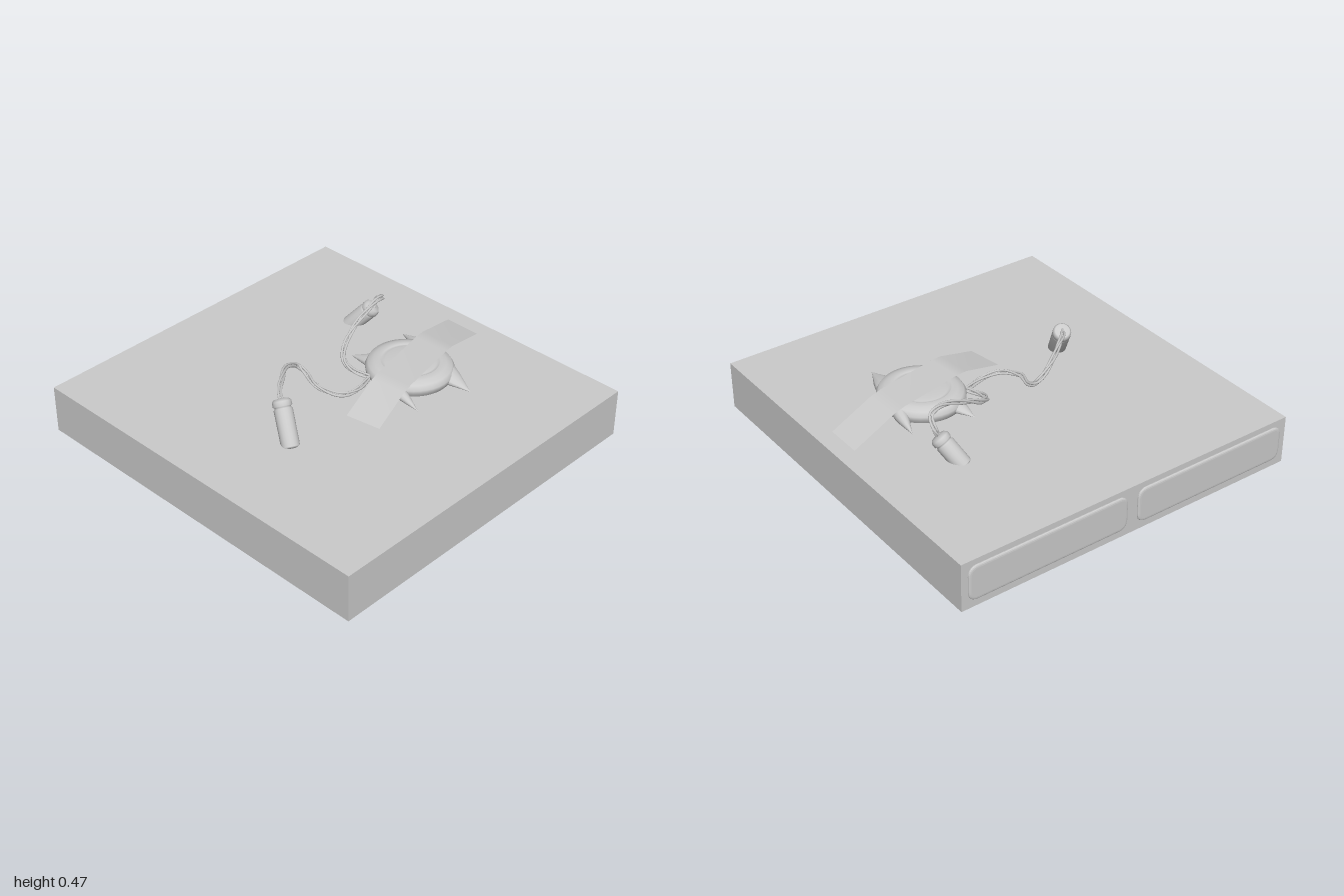
import * as THREE from 'three';

const material = new THREE.MeshStandardMaterial({ color: 0xcccccc });
const doubleSided = new THREE.MeshStandardMaterial({ color: 0xcccccc, side: THREE.DoubleSide });
const V = (x, y, z) => new THREE.Vector3(x, y, z);
const TOP = 0.255;

function add(parent, name, geometry, mat = material) {
  const mesh = new THREE.Mesh(geometry, mat);
  mesh.name = name;
  parent.add(mesh);
  return mesh;
}

// Rounded rectangle with a soft bevelled face
function panelGeometry(w, h, r) {
  const s = new THREE.Shape();
  const x = w / 2, y = h / 2;
  s.moveTo(-x + r, -y);
  s.lineTo(x - r, -y).quadraticCurveTo(x, -y, x, -y + r);
  s.lineTo(x, y - r).quadraticCurveTo(x, y, x - r, y);
  s.lineTo(-x + r, y).quadraticCurveTo(-x, y, -x, y - r);
  s.lineTo(-x, -y + r).quadraticCurveTo(-x, -y, -x + r, -y);
  return new THREE.ExtrudeGeometry(s, {
    depth: 0.004, bevelEnabled: true, bevelThickness: 0.006, bevelSize: 0.015, bevelSegments: 3, curveSegments: 8,
  });
}

// Flattened horn running from a base point on the body to a tip
function hornGeometry(base, tip, halfWidth, halfHeight) {
  const axis = tip.clone().sub(base);
  const side = V(axis.z, 0, -axis.x).normalize();
  const up = side.clone().cross(axis).normalize();
  const g = new THREE.ConeGeometry(1, 1, 12, 5).translate(0, 0.5, 0);
  const p = g.attributes.position;
  for (let i = 0; i < p.count; i++) {
    const t = p.getY(i);
    const swell = 1 + 0.7 * t * (1 - t);
    p.setXYZ(i, p.getX(i) * swell, t, p.getZ(i) * swell);
  }
  const m = new THREE.Matrix4().makeBasis(
    side.multiplyScalar(halfWidth), axis, up.multiplyScalar(-halfHeight)).setPosition(base);
  // keep the basis right-handed so the faces point outwards
  if (m.determinant() < 0) m.multiply(new THREE.Matrix4().makeScale(1, 1, -1));
  g.applyMatrix4(m);
  g.computeVertexNormals();
  return g;
}

// Capsule-like plug with a collar at its cable end
function makePlug(name, cableEnd, farEnd) {
  const plug = new THREE.Group();
  plug.name = name;
  const length = cableEnd.distanceTo(farEnd);
  const profile = [
    [0, 0], [0.036, 0], [0.045, 0.01], [0.046, length - 0.05], [0.04, length - 0.045],
    [0.04, length - 0.038], [0.047, length - 0.034], [0.046, length - 0.012], [0.036, length], [0, length + 0.004],
  ].map(([r, y]) => new THREE.Vector2(r, y));
  add(plug, name + 'Casing', new THREE.LatheGeometry(profile, 20));
  plug.position.copy(farEnd);
  plug.quaternion.setFromUnitVectors(V(0, 1, 0), cableEnd.clone().sub(farEnd).normalize());
  return plug;
}

// Three thin strands twisting loosely round one path
function makeCable(name, points) {
  const cable = new THREE.Group();
  cable.name = name;
  const path = new THREE.CatmullRomCurve3(points.map((p) => V(...p)));
  for (let k = 0; k < 3; k++) {
    const strand = [];
    for (let i = 0; i <= 36; i++) {
      const t = i / 36, a = k * Math.PI * 2 / 3 + t * 11;
      const tan = path.getTangentAt(t);
      const n = V(0, 1, 0).addScaledVector(tan, -tan.y).normalize();
      const b = tan.clone().cross(n);
      strand.push(path.getPointAt(t).addScaledVector(n, Math.cos(a) * 0.009).addScaledVector(b, Math.sin(a) * 0.009));
    }
    add(cable, 'strand', new THREE.TubeGeometry(new THREE.CatmullRomCurve3(strand), 72, 0.006, 6));
  }
  return cable;
}

// Tape laid over the body: flat on top, sloping to the slab at both ends
function tapeGeometry() {
  const profile = [[0, TOP + 0.002], [0.235, 0.33], [0.3, 0.337], [0.66, 0.337], [0.73, 0.33], [1, TOP + 0.002]];
  const position = [], index = [];
  profile.forEach(([t, y], i) => {
    position.push(-0.12 + 0.975 * t, y, 0.195 - 0.21 * t, -0.09 + 0.945 * t, y, 0.38 - 0.2 * t);
    if (i) {
      const a = 2 * i - 2;
      index.push(a, a + 1, a + 2, a + 1, a + 3, a + 2);
    }
  });
  const g = new THREE.BufferGeometry();
  g.setAttribute('position', new THREE.Float32BufferAttribute(position, 3));
  g.setIndex(index);
  g.computeVertexNormals();
  return g;
}

export function createModel() {
  const model = new THREE.Group();
  model.name = 'slabWithTapedDevice';

  // Slab
  add(model, 'slab', new THREE.BoxGeometry(1.89, TOP, 1.99)).position.set(0, TOP / 2, 0.005);

  // Two raised panels on the back
  for (const s of [-1, 1]) {
    const panel = add(model, s > 0 ? 'leftBackPanel' : 'rightBackPanel', panelGeometry(0.85, 0.155, 0.035));
    panel.rotation.y = Math.PI;
    panel.position.set(s * 0.47, 0.132, -0.99);
  }

  // Horned round device
  const device = new THREE.Group();
  device.name = 'device';
  model.add(device);
  const bodyProfile = [
    [0.205, -0.005], [0.22, 0.02], [0.222, 0.04], [0.208, 0.062], [0.18, 0.073],
    [0.15, 0.079], [0.143, 0.072], [0.13, 0.071], [0.12, 0.077], [0.06, 0.079], [0, 0.079],
  ].map(([r, y]) => new THREE.Vector2(r, y));
  const body = add(device, 'body', new THREE.LatheGeometry(bodyProfile, 40));
  body.position.set(0.36, TOP, 0.165);
  body.scale.set(0.97, 1, 1.02);

  // Horns: base, tip, half width, half height
  const horns = [
    [[0.45, 0.285, 0.29], [0.43, 0.265, 0.5], 0.075, 0.038],
    [[0.175, 0.285, 0.25], [0.135, 0.262, 0.425], 0.035, 0.03],
    [[0.54, 0.285, 0.08], [0.575, 0.27, -0.08], 0.035, 0.035],
    [[0.285, 0.285, 0.01], [0.255, 0.268, -0.135], 0.055, 0.03],
  ];
  for (const [b, t, w, h] of horns) add(device, 'horn', hornGeometry(V(...b), V(...t), w, h));

  add(model, 'tape', tapeGeometry(), doubleSided);

  // Plugs leaning into the slab, each with its cable
  model.add(makePlug('rightPlug', V(-0.405, 0.425, 0.045), V(-0.467, 0.235, 0.17)));
  model.add(makePlug('leftPlug', V(0.56, 0.36, -0.268), V(0.492, 0.225, -0.378)));
  model.add(makeCable('rightCable', [
    [-0.405, 0.425, 0.045], [-0.36, 0.432, -0.01], [-0.28, 0.428, -0.075], [-0.18, 0.405, -0.145],
    [-0.085, 0.355, -0.168], [-0.075, 0.325, -0.12], [-0.1, 0.312, -0.02], [-0.06, 0.295, 0.085],
    [0.04, 0.282, 0.108], [0.16, 0.28, 0.075],
  ]));
  model.add(makeCable('leftCable', [
    [0.555, 0.355, -0.27], [0.575, 0.4, -0.265], [0.56, 0.44, -0.21], [0.5, 0.456, -0.19],
    [0.35, 0.415, -0.172], [0.23, 0.355, -0.145], [0.15, 0.31, -0.08], [0.14, 0.29, 0], [0.17, 0.283, 0.08],
  ]));

  return model;
}
